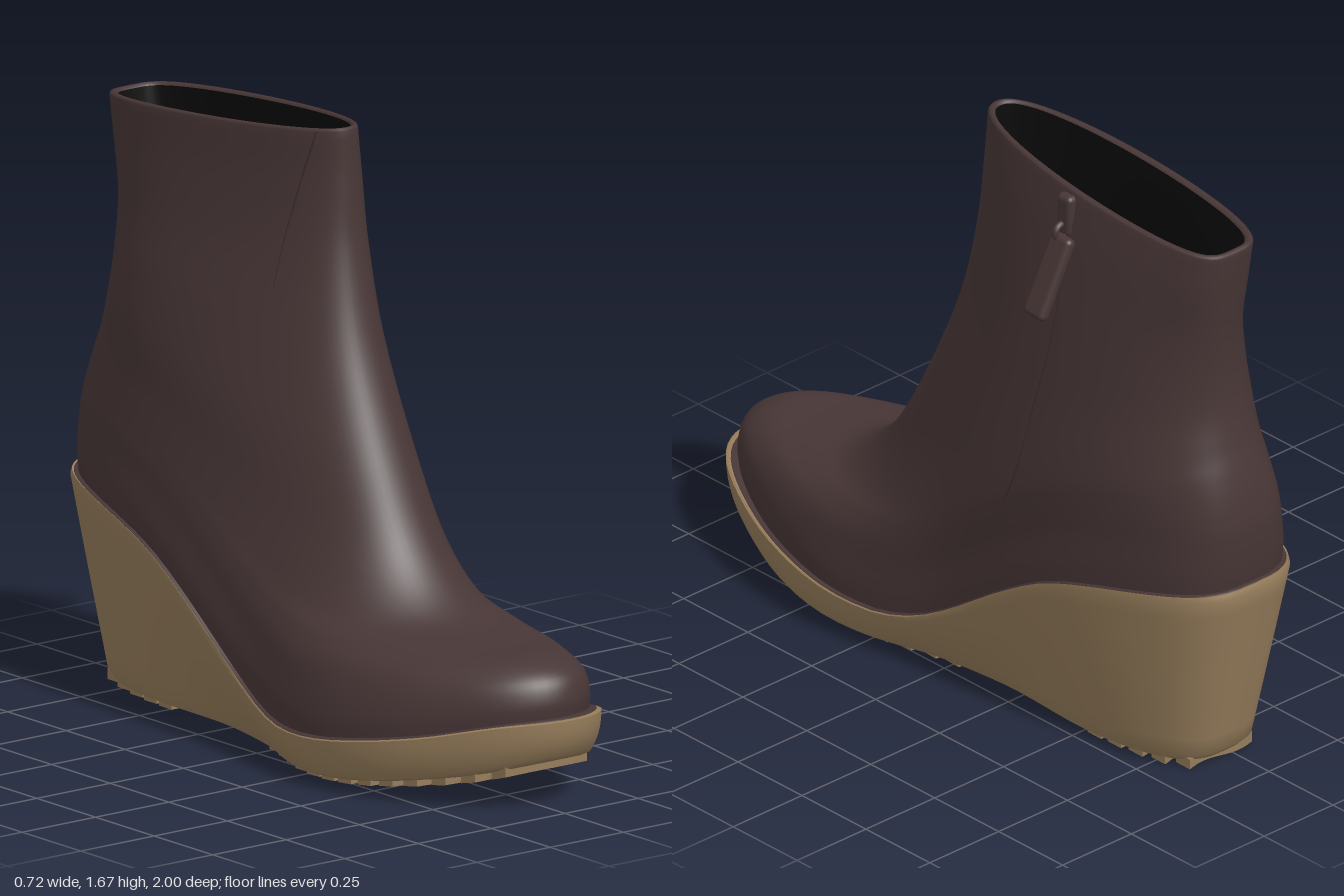
import * as THREE from 'three';
import { toCreasedNormals } from 'three/addons/utils/BufferGeometryUtils.js';
import { RoundedBoxGeometry } from 'three/addons/geometries/RoundedBoxGeometry.js';

const N = 96; // points around each loop
const lerp = THREE.MathUtils.lerp;

// Smooth curve through [x, value] points
function curve(pts) {
  const slope = (i) => {
    const a = pts[Math.max(0, i - 1)], b = pts[Math.min(pts.length - 1, i + 1)];
    return (b[1] - a[1]) / (b[0] - a[0]);
  };
  return (x) => {
    x = Math.min(Math.max(x, pts[0][0]), pts[pts.length - 1][0]);
    let i = 0;
    while (i < pts.length - 2 && x > pts[i + 1][0]) i++;
    const [x0, y0] = pts[i], [x1, y1] = pts[i + 1], h = x1 - x0, t = (x - x0) / h;
    const t2 = t * t, t3 = t2 * t;
    return (2 * t3 - 3 * t2 + 1) * y0 + (t3 - 2 * t2 + t) * h * slope(i)
      + (3 * t2 - 2 * t3) * y1 + (t3 - t2) * h * slope(i + 1);
  };
}

// Heights of the sole's top and bottom along z
const soleTop = curve([[-1, 0.585], [-0.8, 0.56], [-0.6, 0.52], [-0.45, 0.47], [-0.3, 0.385], [-0.1, 0.25],
  [0, 0.19], [0.1, 0.15], [0.22, 0.13], [0.4, 0.14], [0.7, 0.19], [0.9, 0.24], [1, 0.255]]);
const soleBottom = curve([[-1, 0.02], [0, 0.02], [0.25, 0.022], [0.5, 0.04], [0.8, 0.09], [1, 0.15]]);
const bottomWidth = curve([[-1, 0.74], [-0.6, 0.73], [-0.25, 0.66], [0, 0.76], [0.3, 0.91], [1, 0.9]]);
// Footprint: sideways drift of the centre line, and width with a waist at the arch
const centre = curve([[-1, 0.035], [-0.5, 0.03], [-0.2, 0.02], [0, 0.01], [0.3, -0.003], [0.6, 0.002], [1, 0.035]]);
const footWidth = curve([[-1, 0.98], [-0.6, 0.92], [-0.2, 0.855], [0, 0.865], [0.2, 0.97],
  [0.4, 1.075], [0.6, 1.11], [0.8, 1.1], [1, 1.15]]);

// Signed half-width of a rounded outline, 1 at its widest
function round(a, power) {
  const s = Math.sin(a);
  return Math.sign(s) * Math.abs(s) ** power;
}

// Skin between closed loops, ordered from bottom to top
function loft(loops, crease) {
  const pos = [], idx = [];
  for (const loop of loops) for (const p of loop) pos.push(p.x, p.y, p.z);
  for (let i = 0; i < loops.length - 1; i++) {
    for (let j = 0; j < N; j++) {
      const k = (j + 1) % N, a = i * N + j, b = i * N + k, c = b + N, d = a + N;
      idx.push(a, b, c, a, c, d);
    }
  }
  const geo = new THREE.BufferGeometry();
  geo.setAttribute('position', new THREE.Float32BufferAttribute(pos, 3));
  geo.setIndex(idx);
  geo.computeVertexNormals();
  return crease ? toCreasedNormals(geo, crease) : geo;
}
const loop = (fn) => Array.from({ length: N }, (_, j) => fn((j / N) * Math.PI * 2));

// Upper loops: front z, front y, back z, back y, min x, max x, how far it follows the sole, back squareness
const ROWS = [
  [0.955, 0.23, -0.968, 0.55, -0.345, 0.345, 1, 0.66],
  [0.96, 0.30, -0.98, 0.64, -0.342, 0.348, 1, 0.66],
  [0.93, 0.36, -0.985, 0.74, -0.328, 0.345, 1, 0.68],
  [0.84, 0.397, -0.98, 0.80, -0.315, 0.345, 0.95, 0.7],
  [0.70, 0.402, -0.97, 0.86, -0.295, 0.342, 0.85, 0.74],
  [0.52, 0.43, -0.955, 0.92, -0.27, 0.335, 0.7, 0.79],
  [0.36, 0.56, -0.935, 0.99, -0.24, 0.32, 0.5, 0.86],
  [0.22, 0.80, -0.915, 1.09, -0.208, 0.298, 0.3, 0.93],
  [0.09, 1.08, -0.908, 1.20, -0.165, 0.278, 0.15, 0.95],
  [0.02, 1.33, -0.915, 1.33, -0.115, 0.258, 0, 0.88],
  [0, 1.52, -0.935, 1.47, -0.085, 0.235, 0, 0.66],
  [-0.005, 1.66, -0.95, 1.585, -0.07, 0.212, 0, 0.54],
];
const TOP = ROWS.length - 1;
const rowCurves = ROWS[0].map((_, c) => curve(ROWS.map((r, i) => [i, r[c]])));

// Point on the upper at level v and angle a (0 = front, toward +x)
function upperPoint(v, a, inset = 0, width = 1, lift = 0) {
  const [fz, fy, bz, by, x0, x1, b, back] = rowCurves.map((f) => f(v));
  const c = Math.cos(a), s = (1 + c) / 2;
  const z = lerp(bz + inset, fz - inset, s);
  const sag = soleTop(z) - lerp(soleTop(bz), soleTop(fz), s);
  const half = ((x1 - x0) / 2 - inset) * width * lerp(1 - 0.12 * c, footWidth(z), b);
  const x = (x0 + x1) / 2 + centre(z) * b + half * round(a, lerp(back, lerp(0.85, 1, b), s));
  return new THREE.Vector3(x, lerp(by, fy, s) + b * sag + lift, z);
}

// Point on the sole wall, t from 0 at the ground to 1 at the top edge
function solePoint(t, a, width = 1, inset = 0, lift = 0) {
  const c = Math.cos(a), s = (1 + c) / 2;
  const zt = c * (1 - inset), zb = lerp(-0.88, 0.96, s) * (1 - inset);
  const half = round(a, lerp(0.65, 1, s)) * footWidth(c) * 0.36 * (1 - inset);
  const u = lerp(t, 1 - (1 - t) ** 2.5, s);
  const z = lerp(zb, zt, u);
  return new THREE.Vector3(
    centre(z) + half * lerp(bottomWidth(zb), 1, u) * width,
    lerp(soleBottom(zb), soleTop(zt), t) + lift, z);
}

export function createModel() {
  const group = new THREE.Group();
  const mat = (name, color, side = THREE.FrontSide) => {
    const m = new THREE.MeshStandardMaterial({ color, side });
    m.name = name;
    return m;
  };
  const leather = mat('dark brown leather', 0x483636);
  const seamBrown = mat('seam brown', 0x3c2d2d);
  const tan = mat('tan rubber', 0x967d5b);
  const black = mat('black lining', 0x0d0c0c, THREE.DoubleSide);
  const add = (name, geo, material, parent = group) => {
    const m = new THREE.Mesh(geo, material);
    m.name = name;
    parent.add(m);
    return m;
  };

  // Leather upper, with a rolled rim at the collar
  const upper = [];
  for (let i = 0; i <= 66; i++) upper.push(loop((a) => upperPoint((i / 66) * TOP, a)));
  for (let i = 1; i <= 4; i++) {
    const r = (i / 4) * Math.PI;
    upper.push(loop((a) => upperPoint(TOP, a, 0.011 * (1 - Math.cos(r)), 1, 0.008 * Math.sin(r))));
  }
  add('upper', loft(upper), leather);

  // Lining inside the shaft, closed by an insole
  const lining = [];
  for (let i = 0; i <= 12; i++) lining.push(loop((a) => upperPoint(TOP - i * 0.42, a, 0.022)));
  lining.push(loop((a) => upperPoint(TOP - 5.04, a, 0.022, 0)));
  add('lining', loft(lining), black);

  // Wedge sole
  const sole = [loop((a) => solePoint(0, a, 0, 0.02)), loop((a) => solePoint(0, a, 1, 0.02))];
  for (let i = 0; i <= 10; i++) sole.push(loop((a) => solePoint(0.04 + 0.93 * (i / 10), a)));
  sole.push(loop((a) => solePoint(1, a, 1, 0.01)), loop((a) => solePoint(1, a, 1, 0.08, -0.01)),
    loop((a) => solePoint(1, a, 0, 0.08, -0.03)));
  add('wedgeSole', loft(sole, 0.7), tan);

  // Leather welt lying on the rim of the sole
  add('welt', loft([[0.014, -0.004], [0.02, 0.003], [0.09, 0.006]]
    .map(([inset, lift]) => loop((a) => solePoint(1, a, 1, inset, lift)))), leather);

  // Wavy tread bars under the forefoot and heel
  const treads = new THREE.Group();
  treads.name = 'treads';
  group.add(treads);
  const bar = (z) => {
    const a = Math.acos((z - 0.04) / 0.92);
    const half = solePoint(0, a).x - centre(z);
    const geo = new THREE.BoxGeometry(half * 1.76, 0.03, 0.054, 24, 1, 1);
    const p = geo.attributes.position;
    for (let i = 0; i < p.count; i++) {
      const x = p.getX(i), pz = z + p.getZ(i) + 0.01 * Math.sin(x * 28);
      p.setXYZ(i, x + centre(pz), p.getY(i) + soleBottom(pz) - 0.005, pz);
    }
    geo.computeVertexNormals();
    add('treadBar', geo, tan, treads);
  };
  for (let i = 0; i < 13; i++) bar(0.01 + i * 0.071);
  for (let i = 0; i < 5; i++) bar(-0.53 - i * 0.073);

  // Seams running down the shaft
  const seam = (name, v0, a0, v1, a1) => {
    const pts = [];
    for (let i = 0; i <= 16; i++) pts.push(upperPoint(lerp(v0, v1, i / 16), lerp(a0, a1, i / 16)));
    add(name, new THREE.TubeGeometry(new THREE.CatmullRomCurve3(pts), 40, 0.003, 6), seamBrown);
  };
  seam('zipSeam', TOP, 1.53, 4.5, 1.75);
  seam('innerSeam', TOP, -0.5, 8.5, -0.9);

  // Zip slider and hanging pull tab
  const zip = new THREE.Group();
  zip.name = 'zipper';
  group.add(zip);
  add('slider', new RoundedBoxGeometry(0.036, 0.12, 0.055, 3, 0.015), leather, zip).position.set(0.222, 1.56, -0.45);
  const ring = add('pullRing', new THREE.TorusGeometry(0.02, 0.01, 8, 20), leather, zip);
  ring.position.set(0.243, 1.515, -0.448);
  const tab = add('pullTab', new RoundedBoxGeometry(0.036, 0.24, 0.078, 3, 0.016), leather, zip);
  tab.position.set(0.291, 1.398, -0.455);
  tab.rotation.set(-0.06, 0, 0.42);
  return group;
}
